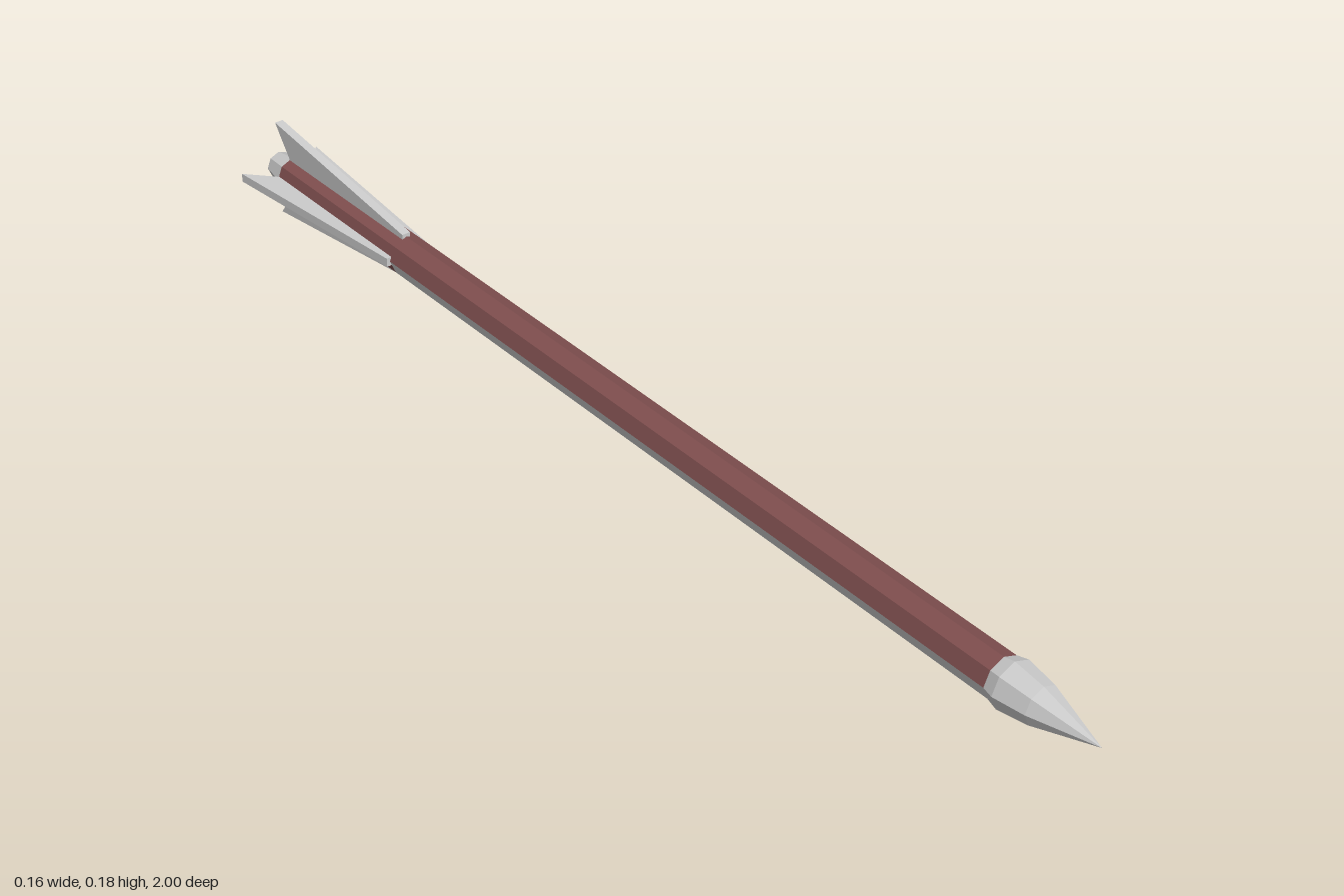
import * as THREE from 'three';

const AXIS_Y = 0.0915;
const R = 0.036;

export function createModel() {
  const arrow = new THREE.Group();
  arrow.name = 'arrow';
  const grey = new THREE.MeshStandardMaterial({ color: 0xcccccc, flatShading: true });
  const wood = new THREE.MeshStandardMaterial({ color: 0x804f4f, flatShading: true });

  const add = (name, geometry, material) => {
    const mesh = new THREE.Mesh(geometry, material);
    mesh.name = name;
    mesh.position.y = AXIS_Y;
    arrow.add(mesh);
  };

  // Run of octagonal shaft faces from z0 to z1; faces count counterclockwise from +x
  const shaftFaces = (z0, z1, first, count) => {
    const step = Math.PI / 4;
    return new THREE.CylinderGeometry(R, R, z1 - z0, count, 1, true, first * step + Math.PI / 2, count * step)
      .rotateX(Math.PI / 2)
      .translate(0, 0, (z0 + z1) / 2);
  };

  // Shaft, with one pale facet on each side ahead of the fins
  add('rearShaft', shaftFaces(-0.95, -0.6, 0, 8), wood);
  for (const first of [0, 4]) {
    add('paleFacet', shaftFaces(-0.6, 0.82, first, 1), grey);
    add('shaftFacets', shaftFaces(-0.6, 0.82, first + 1, 3), wood);
  }

  // Pointed head with a flared collar
  const headProfile = [[0, 0.815], [0.036, 0.815], [0.041, 0.835], [0.033, 0.89], [0, 1]];
  const head = new THREE.LatheGeometry(headProfile.map(([r, z]) => new THREE.Vector2(r, z)), 8);
  add('head', head.rotateX(Math.PI / 2), grey);

  // Tapered nock
  const nock = new THREE.CylinderGeometry(0.034, 0.025, 0.05, 8);
  add('nock', nock.rotateX(Math.PI / 2).translate(0, 0, -0.975), grey);

  // Four swept fins; the upright pair is slightly taller
  for (let i = 0; i < 4; i++) {
    const reach = i % 2 ? 0.0915 : 0.079;
    const outline = new THREE.Shape([
      [0.025, -0.95], [0.034, -0.95], [reach, i % 2 ? -0.99 : -1], [0.042, -0.6], [0.025, -0.6],
    ].map(([r, z]) => new THREE.Vector2(r, z)));
    const fin = new THREE.ExtrudeGeometry(outline, { depth: 0.016, bevelEnabled: false })
      .translate(0, 0, -0.008)
      .rotateX(Math.PI / 2)
      .rotateZ(i * Math.PI / 2);
    add('fin', fin, grey);
  }
  return arrow;
}
